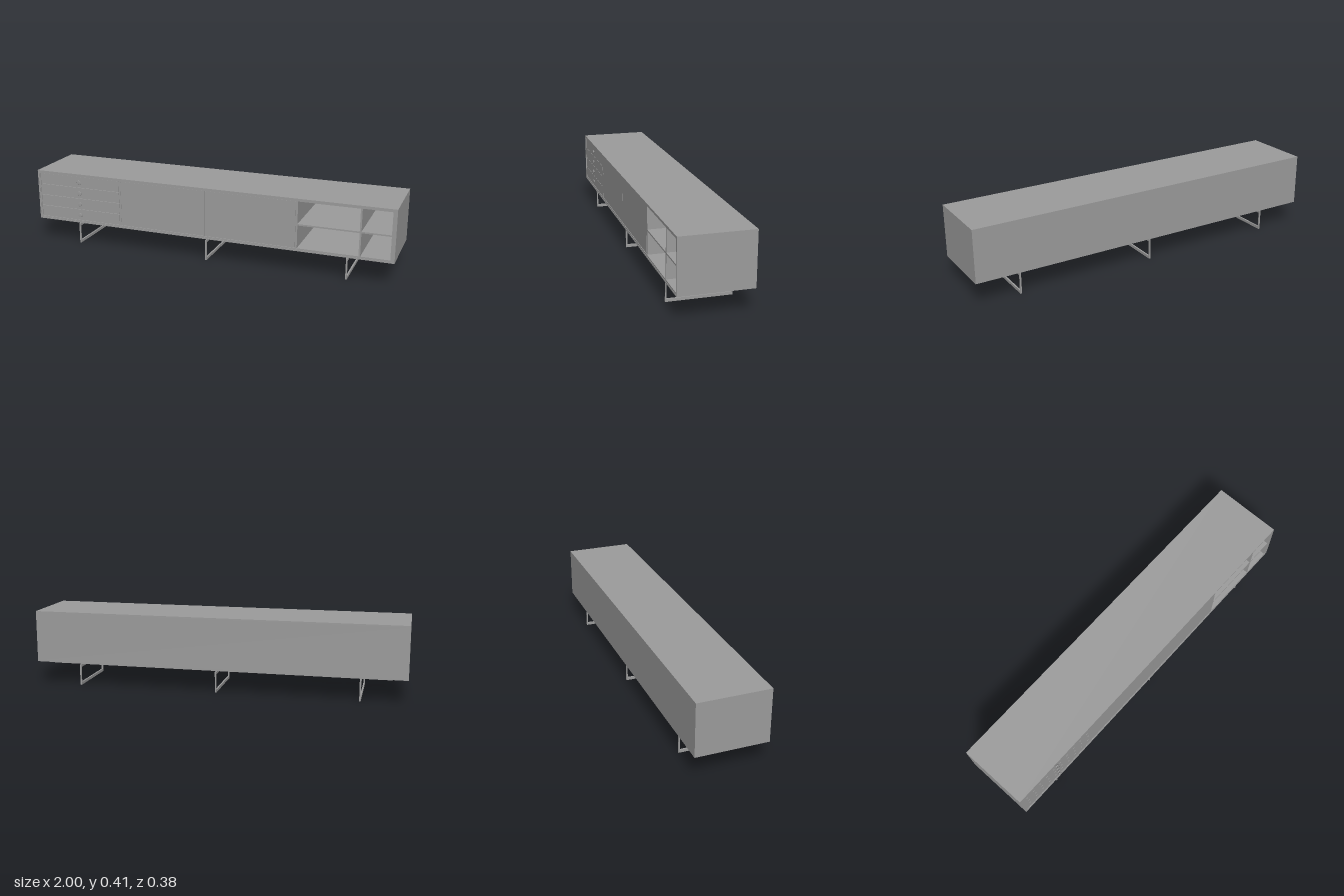
import * as THREE from 'three';

export function createModel() {
  const model = new THREE.Group();
  const grey = new THREE.MeshStandardMaterial({ color: 0x9c9c9c });

  const add = (name, geometry) => {
    const mesh = new THREE.Mesh(geometry, grey);
    mesh.name = name;
    model.add(mesh);
    return mesh;
  };
  // Box given by its limits on each axis
  const box = (name, x0, x1, y0, y1, z0, z1) =>
    add(name, new THREE.BoxGeometry(x1 - x0, y1 - y0, z1 - z0)
      .translate((x0 + x1) / 2, (y0 + y1) / 2, (z0 + z1) / 2));

  // Open frame of four boards, given by its outer half width, height range and board thickness
  const frame = (name, w, y0, y1, t, z0, z1) => {
    box(name + 'Top', -w, w, y1 - t, y1, z0, z1);
    box(name + 'Bottom', -w, w, y0, y0 + t, z0, z1);
    for (const s of [-1, 1])
      box(name + 'Side', s * (w - t / 2) - t / 2, s * (w - t / 2) + t / 2, y0 + t, y1 - t, z0, z1);
  };

  const bottom = 0.126, top = 0.406, back = -0.189, front = 0.185;
  const shell = 0.007, lining = 0.008;
  const inB = bottom + shell + lining, inT = top - shell - lining;
  const inBack = back + 0.01;
  const face = front - 0.004; // drawers and doors sit slightly recessed

  // Cabinet: outer shell, recessed inner lining and back
  frame('shell', 1, bottom, top, shell, back, front);
  frame('lining', 1 - shell, bottom + shell, top - shell, lining, inBack, front - 0.002);
  box('backPanel', -1 + shell, 1 - shell, bottom + shell, top - shell, back, inBack);

  // Upright dividers between the three bays
  for (const x of [-0.494, 0.498])
    box('divider', x - 0.005, x + 0.005, inB, inT, inBack, face);

  // Four drawers with round knobs
  const pitch = (inT - inB) / 4, gap = 0.001;
  const knobProfile = [[0, 0], [0.006, 0], [0.006, 0.004], [0.011, 0.005], [0.012, 0.006], [0.012, 0.008], [0.011, 0.009], [0, 0.009]]
    .map(([r, h]) => new THREE.Vector2(r, h));
  for (let i = 0; i < 4; i++) {
    const y = inB + pitch * i;
    box('drawer', -0.984, -0.501, y + gap, y + pitch - gap, inBack, face);
    const knob = add('drawerKnob', new THREE.LatheGeometry(knobProfile, 24).rotateX(Math.PI / 2));
    knob.position.set(-0.741, y + pitch / 2, face);
  }

  // Pair of doors
  box('rightDoor', -0.488, -0.001, inB + gap, inT - gap, face - 0.015, face);
  box('leftDoor', 0.001, 0.492, inB + gap, inT - gap, face - 0.015, face);

  // Open compartment: end board, upright and shelves
  box('shelfEnd', 0.978, 0.985, inB, inT, inBack, face);
  box('shelfUpright', 0.82, 0.829, inB, inT, inBack, face);
  box('wideShelf', 0.503, 0.82, 0.263, 0.271, inBack, face);
  box('narrowShelf', 0.829, 0.978, 0.263, 0.271, inBack, face);

  // Long flat rails under the cabinet
  for (const z of [0.128, -0.13])
    box('rail', -0.92, 0.92, 0.114, bottom, z - 0.0185, z + 0.0185);

  // Rectangular leg frames
  for (const x of [-0.76, 0, 0.76]) {
    const x0 = x - 0.004, x1 = x + 0.004;
    box('legTopBar', x0, x1, 0.1, 0.114, -0.168, 0.166);
    box('legFootBar', x0, x1, 0, 0.015, -0.168, 0.166);
    box('legFrontPost', x0, x1, 0.015, 0.1, 0.159, 0.166);
    box('legBackPost', x0, x1, 0.015, 0.1, -0.168, -0.161);
  }

  return model;
}
